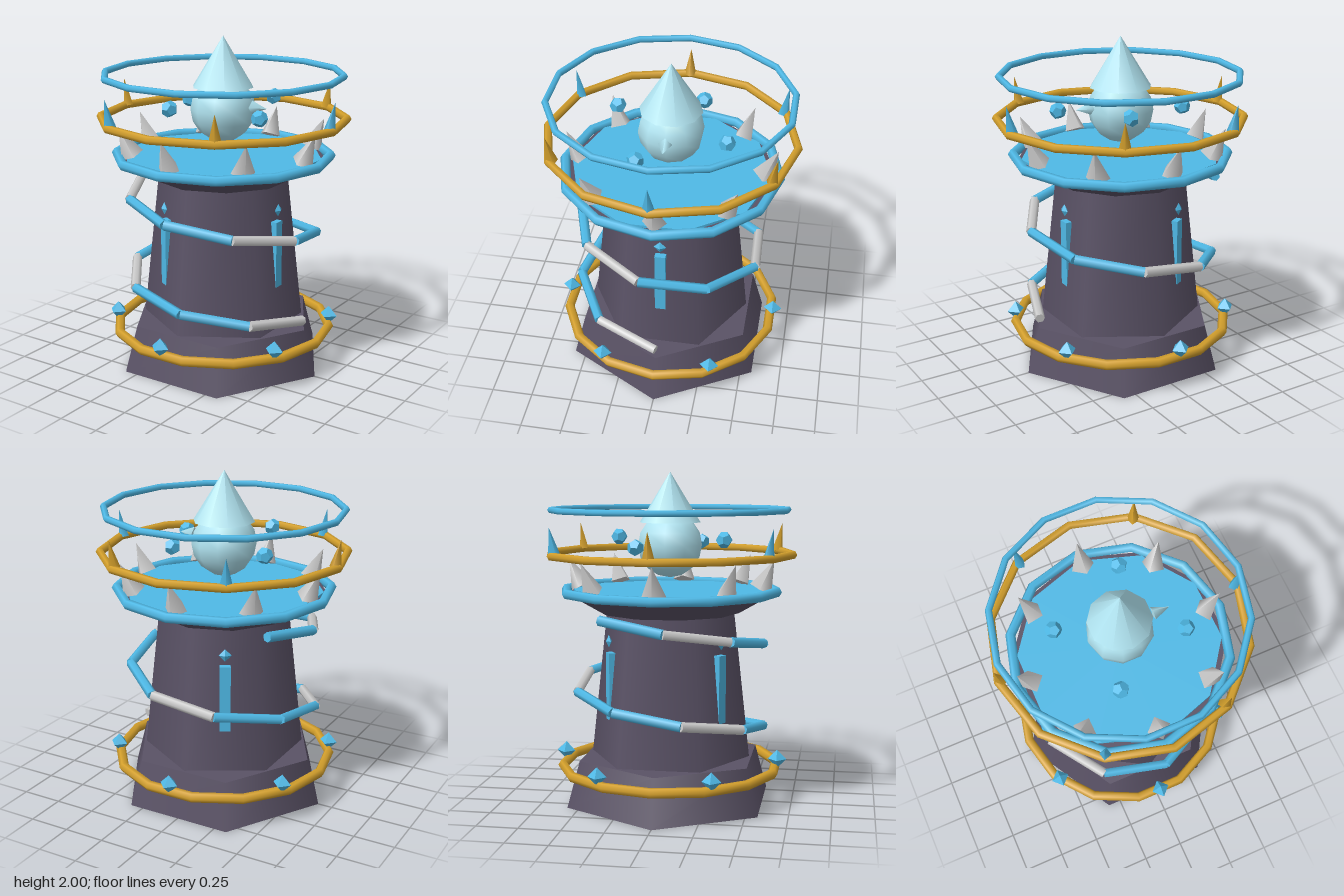
import * as THREE from 'three';

const mat = (color) => new THREE.MeshStandardMaterial({ color });

export function createModel() {
  const model = new THREE.Group();
  const stone = mat(0x5a5266), blue = mat(0x4fb9e6), gold = mat(0xd4a02c);
  const pale = mat(0xb0e3f0), white = mat(0xdedede);

  function add(name, geometry, material, x = 0, y = 0, z = 0, parent = model) {
    const mesh = new THREE.Mesh(geometry, material);
    mesh.name = name;
    mesh.position.set(x, y, z);
    parent.add(mesh);
    return mesh;
  }
  // Calls build(spoke, index) on count groups turned evenly about y; spoke's +x points outward
  function around(name, count, build) {
    for (let i = 0; i < count; i++) {
      const spoke = new THREE.Group();
      spoke.name = name;
      spoke.rotation.y = -i * Math.PI * 2 / count;
      build(spoke, i);
      model.add(spoke);
    }
  }
  function ring(name, material, radius, tube, segments, y) {
    add(name, new THREE.TorusGeometry(radius, tube, 6, segments), material, 0, y, 0).rotation.x = Math.PI / 2;
  }

  // Tower body
  add('base', new THREE.CylinderGeometry(0.58, 0.66, 0.28, 6), stone, 0, 0.14).rotation.y = Math.PI / 6;
  add('shaft', new THREE.CylinderGeometry(0.39, 0.49, 0.9, 6), stone, 0, 0.72);
  add('platform', new THREE.CylinderGeometry(0.63, 0.42, 0.12, 10), stone, 0, 1.22);
  add('platformFloor', new THREE.CylinderGeometry(0.6, 0.6, 0.02, 10), blue, 0, 1.285);

  // Rings
  ring('baseRing', gold, 0.66, 0.03, 14, 0.215);
  ring('platformRing', blue, 0.645, 0.03, 12, 1.29);
  ring('spikedRing', gold, 0.737, 0.025, 12, 1.513);
  ring('topRing', blue, 0.713, 0.02, 14, 1.775);

  // Gems above the base ring, on the z axis and every 60 degrees
  const gem = new THREE.OctahedronGeometry(0.057);
  for (let i = 0; i < 6; i++) {
    const a = Math.PI / 6 + i * Math.PI / 3;
    add('baseGem', gem, blue, 0.66 * Math.cos(a), 0.27, 0.66 * Math.sin(a));
  }

  // Slit windows with a thin gem above each
  const slit = new THREE.BoxGeometry(0.04, 0.42, 0.065);
  const slitGem = new THREE.OctahedronGeometry(0.038).scale(0.5, 1, 1);
  around('window', 3, (spoke) => {
    add('slit', slit, blue, 0.38, 0.72, 0, spoke);
    add('windowGem', slitGem, blue, 0.39, 1.0, 0, spoke);
  });

  // Spiral of straight rods winding up the shaft
  const up = new THREE.Vector3(0, 1, 0);
  const helix = (i) => {
    const a = i * 1.6 * Math.PI * 2 / 14;
    return new THREE.Vector3(0.572 * Math.cos(a), 0.342 + i * 0.0583, 0.572 * Math.sin(a));
  };
  for (let i = 0; i < 14; i++) {
    const p = helix(i), d = helix(i + 1).sub(p), mid = p.clone().addScaledVector(d, 0.5);
    const rod = add('spiralRod', new THREE.CylinderGeometry(0.03, 0.03, d.length(), 6),
      i % 3 ? blue : white, mid.x, mid.y, mid.z);
    rod.quaternion.setFromUnitVectors(up, d.normalize());
  }

  // Battlement spikes leaning outward
  const tooth = new THREE.ConeGeometry(0.07, 0.19, 4);
  around('battlement', 8, (spoke) => {
    add('battlementSpike', tooth, white, 0.588, 1.395, 0, spoke).rotation.z = -0.43;
  });

  // Slim spikes on the floating ring
  const thorn = new THREE.ConeGeometry(0.038, 0.17, 4);
  around('ringSpikeSpoke', 6, (spoke, i) => {
    add('ringSpike', thorn, i % 2 ? gold : blue, 0.732, 1.597, 0, spoke).rotation.z = -0.18;
  });

  // Central orb with pointed cap and a small side spike
  add('orb', new THREE.SphereGeometry(0.195, 10, 8), pale, 0, 1.565);
  add('orbCap', new THREE.ConeGeometry(0.185, 0.3, 10), pale, 0, 1.85);
  add('orbSpike', new THREE.ConeGeometry(0.04, 0.1, 4), pale, 0.253, 1.597).rotation.z = -Math.PI / 2;

  // Nuggets floating round the orb
  const nugget = new THREE.DodecahedronGeometry(0.05);
  around('nuggetSpoke', 4, (spoke, i) => {
    add('nugget', nugget, blue, 0.343, i % 2 ? 1.605 : 1.568, 0.145, spoke);
  });

  return model;
}
